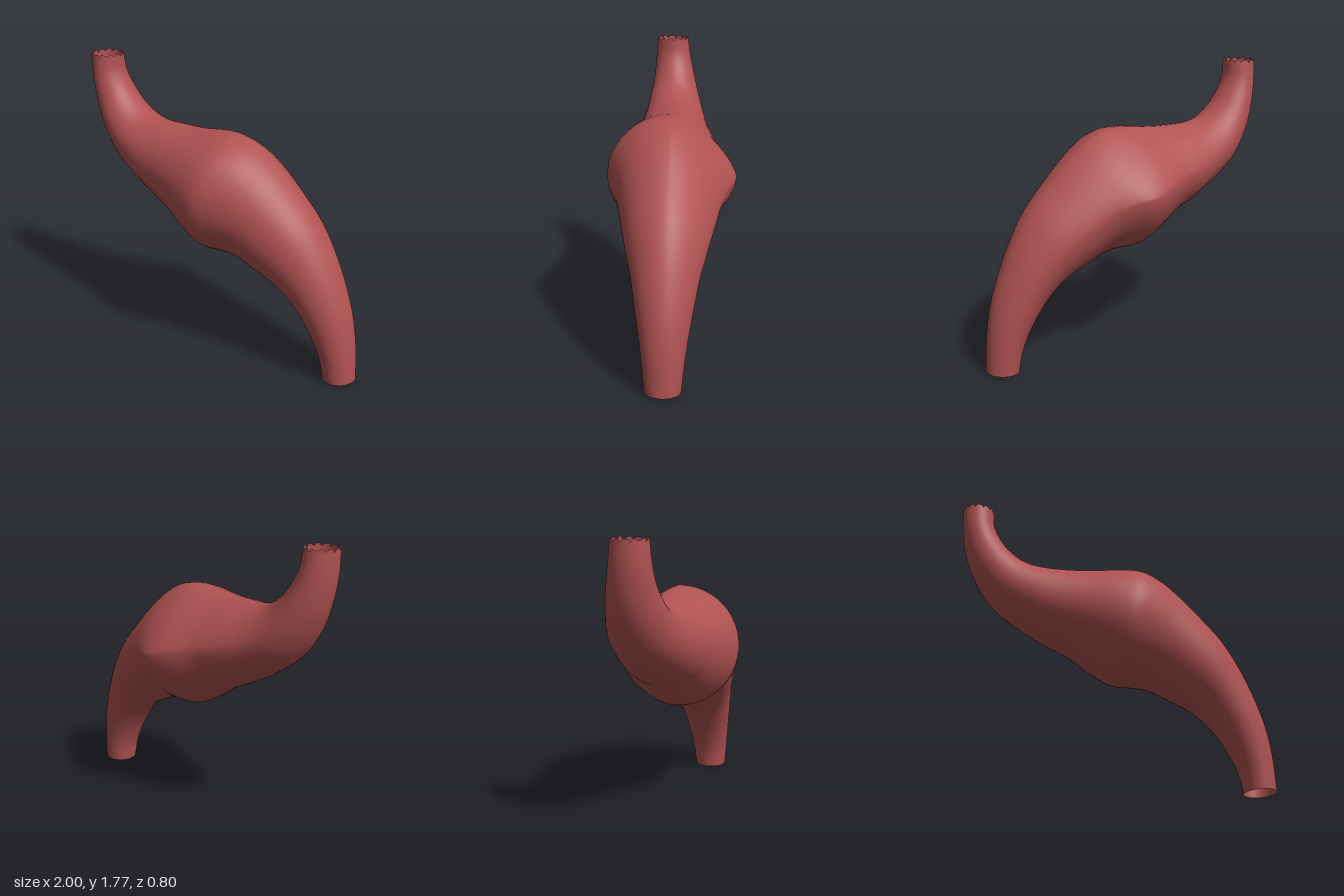
import * as THREE from 'three';

// Cross-sections from the narrow upper mouth to the lower outlet:
// upper edge x, y | lower edge x, y | half depth, depth centre
const SECTIONS = [
  [-0.80, 1.765, -1.00, 1.765, 0.105, 0.05],
  [-0.79, 1.66, -0.99, 1.60, 0.12, 0.045],
  [-0.74, 1.56, -0.95, 1.42, 0.142, 0.035],
  [-0.67, 1.475, -0.88, 1.26, 0.17, 0.03],
  [-0.58, 1.415, -0.77, 1.11, 0.198, 0.022],
  [-0.48, 1.39, -0.60, 0.985, 0.228, 0.018],
  [-0.32, 1.385, -0.42, 0.885, 0.268, 0.01],
  [-0.15, 1.39, -0.28, 0.82, 0.31, 0.01],
  [0.05, 1.41, -0.12, 0.715, 0.38, 0],
  [0.15, 1.405, 0.00, 0.655, 0.40, 0],
  [0.27, 1.36, 0.12, 0.65, 0.362, 0],
  [0.40, 1.265, 0.22, 0.64, 0.318, 0],
  [0.54, 1.13, 0.36, 0.58, 0.28, 0],
  [0.68, 0.98, 0.50, 0.51, 0.24, 0],
  [0.79, 0.81, 0.60, 0.425, 0.20, 0],
  [0.88, 0.62, 0.68, 0.32, 0.17, 0],
  [0.95, 0.42, 0.74, 0.21, 0.142, 0],
  [0.985, 0.23, 0.78, 0.11, 0.122, 0],
  [1.00, 0.01, 0.80, 0.00, 0.105, 0],
];
const RINGS = 72, SIDES = 48;

const curve = (pick) =>
  new THREE.CatmullRomCurve3(SECTIONS.map((s) => new THREE.Vector3(...pick(s))));
const power = (v, e) => Math.sign(v) * Math.pow(Math.abs(v), e);

function organGeometry() {
  const upper = curve((s) => [s[0], s[1], s[4]]);
  const lower = curve((s) => [s[2], s[3], s[5]]);
  const positions = [], indices = [];

  for (let i = 0; i <= RINGS; i++) {
    const u = upper.getPoint(i / RINGS), l = lower.getPoint(i / RINGS);
    const swell = THREE.MathUtils.clamp((u.z - 0.1) / 0.3, 0, 1);
    for (let j = 0; j < SIDES; j++) {
      const a = (j / SIDES) * Math.PI * 2;
      const c = Math.cos(a), s = Math.sin(a);
      // The back of the swollen middle is more wedge-shaped than the front
      const p = s >= 0 ? 2 : 2 - swell * (c > 0 ? 0.75 : 0.35);
      const across = power(c, 2 / p), depth = power(s, 2 / p);
      // Ragged rim at the upper mouth
      const rag = i === 0 ? 0.009 * Math.sin(j * 1.7) + 0.006 * Math.sin(j * 2.9 + 1) : 0;
      positions.push(
        (u.x + l.x) / 2 + ((u.x - l.x) / 2) * across,
        (u.y + l.y) / 2 + ((u.y - l.y) / 2) * across + rag,
        l.z + u.z * depth
      );
    }
  }
  for (let i = 0; i < RINGS; i++) {
    for (let j = 0; j < SIDES; j++) {
      const k = (j + 1) % SIDES;
      const a = i * SIDES + j, b = i * SIDES + k;
      const c = a + SIDES, d = b + SIDES;
      indices.push(a, b, c, b, d, c);
    }
  }
  const geometry = new THREE.BufferGeometry();
  geometry.setAttribute('position', new THREE.Float32BufferAttribute(positions, 3));
  geometry.setIndex(indices);
  geometry.computeVertexNormals();
  return geometry;
}

export function createModel() {
  const group = new THREE.Group();
  group.name = 'stomach';

  const flesh = new THREE.MeshStandardMaterial({ color: 0xb05252, side: THREE.DoubleSide });
  flesh.name = 'flesh red';

  // One hollow wall, open at both ends
  const wall = new THREE.Mesh(organGeometry(), flesh);
  wall.name = 'stomachWall';
  group.add(wall);
  return group;
}
